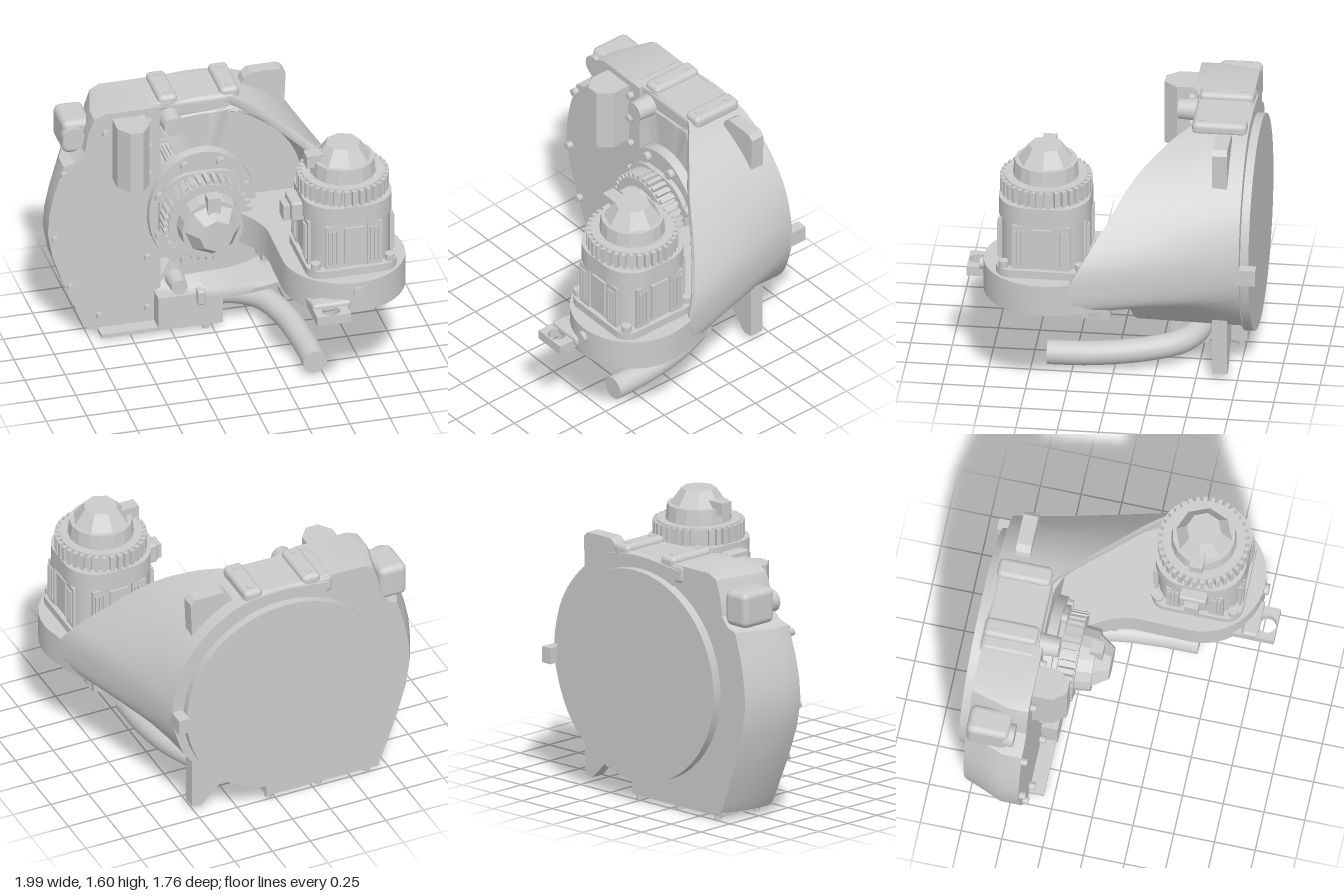
import * as THREE from 'three';
import { RoundedBoxGeometry } from 'three/addons/geometries/RoundedBoxGeometry.js';
import { toCreasedNormals } from 'three/addons/utils/BufferGeometryUtils.js';

const mat = new THREE.MeshStandardMaterial({ color: 0xcccccc, side: THREE.DoubleSide });
const V = (x, y, z) => new THREE.Vector3(x, y, z);

function add(parent, name, geo, x = 0, y = 0, z = 0) {
  const m = new THREE.Mesh(geo, mat);
  m.name = name;
  m.position.set(x, y, z);
  parent.add(m);
  return m;
}
const box = (w, h, d) => new THREE.BoxGeometry(w, h, d);
const soft = (w, h, d, r) => new RoundedBoxGeometry(w, h, d, 3, r);
const cyl = (rt, rb, h, n = 32) => new THREE.CylinderGeometry(rt, rb, h, n);
const cylZ = (rf, rb, h, n = 32) => cyl(rf, rb, h, n).rotateX(Math.PI / 2);
const poly = pts => new THREE.Shape(pts.map(p => new THREE.Vector2(...p)));
const extrude = (shape, depth, steps = 1) =>
  new THREE.ExtrudeGeometry(shape, { depth, steps, bevelEnabled: false, curveSegments: 12 });

// Servo motor standing on y = 0, connector towards -x
function makeMotor(name) {
  const g = new THREE.Group();
  g.name = name;
  const square = (w, r) => {
    const s = new THREE.Shape(), h = w / 2;
    [[1, 1, 0], [-1, 1, 1], [-1, -1, 2], [1, -1, 3]].forEach(([a, b, q]) =>
      s.absarc(a * (h - r), b * (h - r), r, q * Math.PI / 2, (q + 1) * Math.PI / 2));
    return s;
  };
  const slab = (w, r, h) => extrude(square(w, r), h).rotateX(-Math.PI / 2);
  add(g, 'motorFoot', slab(0.56, 0.1, 0.05));
  add(g, 'motorHousing', slab(0.5, 0.15, 0.31), 0, 0.05);
  add(g, 'motorCollar', slab(0.55, 0.2, 0.12), 0, 0.35);
  for (let i = 0; i < 4; i++) {
    const side = new THREE.Group();
    side.name = 'motorSide';
    side.rotation.y = i * Math.PI / 2;
    for (const s of [-1, 1]) {
      add(side, 'grilleFrame', box(0.09, 0.29, 0.02), s * 0.13, 0.2, 0.255);
      for (let k = -1; k <= 1; k++)
        add(side, 'grilleBar', box(0.012, 0.23, 0.02), s * 0.13 + k * 0.025, 0.2, 0.267);
    }
    add(side, 'sidePanel', box(0.12, 0.24, 0.02), 0, 0.2, 0.255);
    add(side, 'cornerScrew', cyl(0.03, 0.03, 0.06, 12), 0.23, 0.06, 0.23);
    g.add(side);
  }
  // cooling fins
  add(g, 'finCore', cyl(0.25, 0.25, 0.11, 40), 0, 0.525);
  for (let i = 0; i < 36; i++) {
    const a = i * Math.PI / 18;
    add(g, 'coolingFin', box(0.05, 0.1, 0.025), 0.252 * Math.cos(a), 0.525, 0.252 * Math.sin(a)).rotation.y = -a;
  }
  // faceted end cap
  add(g, 'capCollar', toCreasedNormals(cyl(0.19, 0.2, 0.1, 16), 0.3), 0, 0.625);
  add(g, 'endCap', toCreasedNormals(cyl(0.105, 0.175, 0.1, 8), 0.3), 0, 0.72);
  // connectors
  add(g, 'connector', soft(0.1, 0.13, 0.17, 0.015), -0.29, 0.37, 0);
  add(g, 'connectorPlug', box(0.08, 0.1, 0.09), -0.34, 0.35, 0);
  add(g, 'encoderPlug', box(0.13, 0.08, 0.08), -0.17, 0.68, 0);
  return g;
}

// Hollow shell: ruled from the back ring to an oblique front rim, then back inside
function shellGeometry() {
  const pairs = [ // back x, y, then rim x, y, z
    [-0.35, 1.5, -0.33, 1.53, -0.42], [0, 1.53, 0.08, 1.53, -0.45], [0.26, 1.49, 0.3, 1.47, -0.3],
    [0.48, 1.34, 0.52, 1.34, -0.13], [0.62, 1.15, 0.75, 1.13, 0.02], [0.68, 0.95, 0.93, 0.92, 0.16],
    [0.69, 0.8, 0.97, 0.8, 0.22], [0.67, 0.68, 0.94, 0.65, 0.16], [0.6, 0.5, 0.66, 0.56, -0.08],
    [0.43, 0.34, 0.45, 0.36, -0.14], [0.2, 0.25, 0.2, 0.27, -0.2], [-0.1, 0.23, -0.05, 0.23, -0.28],
    [-0.35, 0.23, -0.35, 0.23, -0.4]];
  const n = 72, c = V(-0.05, 0.82, 0);
  const backs = new THREE.CatmullRomCurve3(pairs.map(p => V(p[0], p[1], -0.78))).getPoints(n);
  const rims = new THREE.CatmullRomCurve3(pairs.map(p => V(p[2], p[3], p[4]))).getPoints(n);
  const inward = (p, d, z) => {
    const q = V(c.x - p.x, c.y - p.y, 0).setLength(d).add(p);
    return z === undefined ? q : q.setZ(z);
  };
  const pos = [], idx = [], rows = 9;
  for (let i = 0; i <= n; i++) {
    const b = backs[i], f = rims[i];
    const line = [V(c.x, c.y, -0.78), b, b.clone().lerp(f, 0.33), b.clone().lerp(f, 0.66), f,
      inward(f, 0.03), inward(f, 0.06).add(V(0, 0, -0.02)), inward(b, 0.1, -0.42), V(c.x, c.y, -0.42)];
    line.forEach(p => pos.push(p.x, p.y, p.z));
  }
  for (let i = 0; i < n; i++) for (let j = 0; j < rows - 1; j++) {
    const a = i * rows + j, d = a + rows;
    idx.push(a, d, a + 1, d, d + 1, a + 1);
  }
  const g = new THREE.BufferGeometry();
  g.setAttribute('position', new THREE.Float32BufferAttribute(pos, 3));
  g.setIndex(idx);
  return toCreasedNormals(g, 0.6);
}

export function createModel() {
  const g = new THREE.Group();
  g.name = 'rotatingColumn';

  // rear bearing disc and stop
  add(g, 'bearingDisc', cylZ(0.655, 0.655, 0.06, 72), -0.035, 0.8, -0.8);
  add(g, 'stopTab', box(0.07, 0.1, 0.12), 0.66, 0.8, -0.82);
  add(g, 'shell', shellGeometry());

  // shelf carrying the upright motor
  const shelf = new THREE.Shape();
  shelf.moveTo(0.2, 0.42);
  shelf.lineTo(0.67, 0.42);
  shelf.lineTo(0.95, -0.15);
  shelf.absarc(0.62, -0.39, 0.375, 0.25, -Math.PI, true);
  shelf.lineTo(0.25, -0.05);
  shelf.quadraticCurveTo(0.24, 0.1, 0.12, 0.24);
  add(g, 'motorShelf', toCreasedNormals(extrude(shelf, 0.2).rotateX(-Math.PI / 2), 0.5), 0, 0.63, 0);
  const ear = poly([[0.33, -0.6], [0.33, -0.88], [0.54, -0.88], [0.54, -0.6]]);
  ear.holes.push(new THREE.Path().absarc(0.43, -0.82, 0.055, 0, Math.PI * 2));
  add(g, 'shelfEar', extrude(ear, 0.06).rotateX(-Math.PI / 2), 0, 0.635, 0);
  add(g, 'earRib', soft(0.24, 0.06, 0.1, 0.02), 0.45, 0.69, 0.73);
  add(g, 'shelfPlug', cylZ(0.035, 0.035, 0.04, 16), 0.62, 0.77, 0.77);
  for (const [x, z] of [[0.8, 0.06], [0.3, -0.15]]) {
    add(g, 'underBoss', box(0.12, 0.08, 0.17), x, 0.6, z);
    add(g, 'underNut', cyl(0.08, 0.08, 0.06, 6), x, 0.6, z);
  }

  // motors
  const upright = makeMotor('uprightMotor');
  upright.position.set(0.62, 0.83, 0.39);
  g.add(upright);
  const front = makeMotor('frontMotor');
  front.position.set(-0.05, 0.8, -0.8);
  front.rotation.set(Math.PI / 2, -Math.PI / 2, 0);
  g.add(front);
  add(g, 'motorFlange', cylZ(0.4, 0.41, 0.08, 48), -0.05, 0.8, -0.4).scale.x = 0.83;
  for (let i = 0; i < 8; i++) {
    const a = (i + 0.5) * Math.PI / 4;
    add(g, 'flangeBolt', cylZ(0.03, 0.03, 0.05, 12), -0.05 + 0.29 * Math.cos(a), 0.8 + 0.35 * Math.sin(a), -0.35);
  }
  add(g, 'upperBoss', cylZ(0.06, 0.07, 0.14, 16), -0.24, 1.43, -0.38);
  add(g, 'lowerBoss', cylZ(0.05, 0.06, 0.14, 16), -0.21, 0.32, -0.36);
  add(g, 'lowerRib', soft(0.05, 0.1, 0.12, 0.015), -0.08, 0.24, -0.32);

  // side cover, narrower towards the back
  const outline = poly([[-0.3, 1.53], [-0.64, 1.53], [-0.71, 1.5], [-0.75, 1.4], [-0.77, 1.28], [-0.83, 1.22],
    [-0.9, 1.2], [-0.96, 1.02], [-0.99, 0.88], [-1, 0.75], [-0.97, 0.58], [-0.9, 0.38], [-0.78, 0.1],
    [-0.75, 0.05], [-0.7, 0.035], [-0.3, 0.035]]);
  const cover = extrude(outline, 0.36, 3), p = cover.attributes.position;
  for (let i = 0; i < p.count; i++) {
    const t = Math.max(0, (0.24 - p.getZ(i)) / 0.24);
    p.setX(i, -0.3 + (p.getX(i) + 0.3) * (1 - 0.16 * t));
  }
  add(g, 'sideCover', toCreasedNormals(cover, 0.5), 0, 0, -0.76);
  add(g, 'coverLobe', soft(0.18, 0.22, 0.26, 0.04), -0.79, 1.34, -0.62);
  add(g, 'coverLobeBoss', cylZ(0.07, 0.07, 0.06, 20), -0.82, 1.35, -0.49);
  for (const [x, y] of [[-0.9, 1.15], [-0.955, 0.71], [-0.86, 0.37], [-0.68, 0.14], [-0.38, 0.15],
    [-0.38, 0.5], [-0.37, 1.08], [-0.37, 1.27], [-0.37, 1.44], [-0.64, 1.4]])
    add(g, 'coverBolt', cylZ(0.023, 0.023, 0.04, 12), x, y, -0.385);
  const block = poly([[-0.6, 0.45], [-0.6, 0.28], [-0.54, 0.2], [-0.46, 0.2], [-0.4, 0.28], [-0.4, 0.45]]);
  add(g, 'coverConnector', extrude(block, 0.41).rotateX(Math.PI / 2).scale(1, 1, -1), 0, 1.49, 0);
  add(g, 'connectorGland', cyl(0.07, 0.06, 0.03, 16), -0.5, 1.075, -0.31);

  // top lugs with bolt holes
  add(g, 'topDeck', soft(0.56, 0.12, 0.34, 0.03), -0.1, 1.475, -0.6);
  for (const x of [-0.24, 0.145]) {
    add(g, 'topLug', soft(0.12, 0.08, 0.33, 0.03), x, 1.53, -0.605);
    for (const z of [-0.71, -0.5]) add(g, 'lugBolt', cyl(0.022, 0.022, 0.01, 16), x, 1.57, z);
  }

  // gussets
  add(g, 'upperGusset', extrude(poly([[0.22, 1.4], [0.27, 1.53], [0.31, 1.56], [0.5, 1.56], [0.53, 1.53],
    [0.52, 1.28], [0.46, 1.24]]), 0.09), 0, 0, -0.69);
  add(g, 'lowerGusset', extrude(poly([[0.25, 0.32], [0.3, 0.2], [0.46, 0.04], [0.52, 0.05], [0.52, 0.42],
    [0.4, 0.42]]), 0.09), 0, 0, -0.69);

  // base foot with bolts and the cable conduit
  add(g, 'baseFoot', box(0.4, 0.22, 0.46), -0.14, 0.145, -0.53);
  add(g, 'basePlate', box(0.74, 0.025, 0.44), -0.32, 0.04, -0.53);
  for (const [x, z] of [[-0.66, -0.43], [-0.62, -0.72], [-0.38, -0.43], [-0.3, -0.72], [-0.04, -0.33],
    [0.03, -0.51], [0.03, -0.72]])
    add(g, 'baseBolt', cyl(0.022, 0.022, 0.04, 12), x, 0.02, z);
  const path = new THREE.CatmullRomCurve3([V(0, 0.14, -0.48), V(0.15, 0.14, -0.47), V(0.3, 0.135, -0.38),
    V(0.4, 0.12, -0.15), V(0.44, 0.1, 0.15), V(0.445, 0.095, 0.4)]);
  add(g, 'cableConduit', new THREE.TubeGeometry(path, 32, 0.074, 20));
  add(g, 'conduitEnd', new THREE.CircleGeometry(0.074, 20), 0.445, 0.095, 0.4);
  return g;
}
